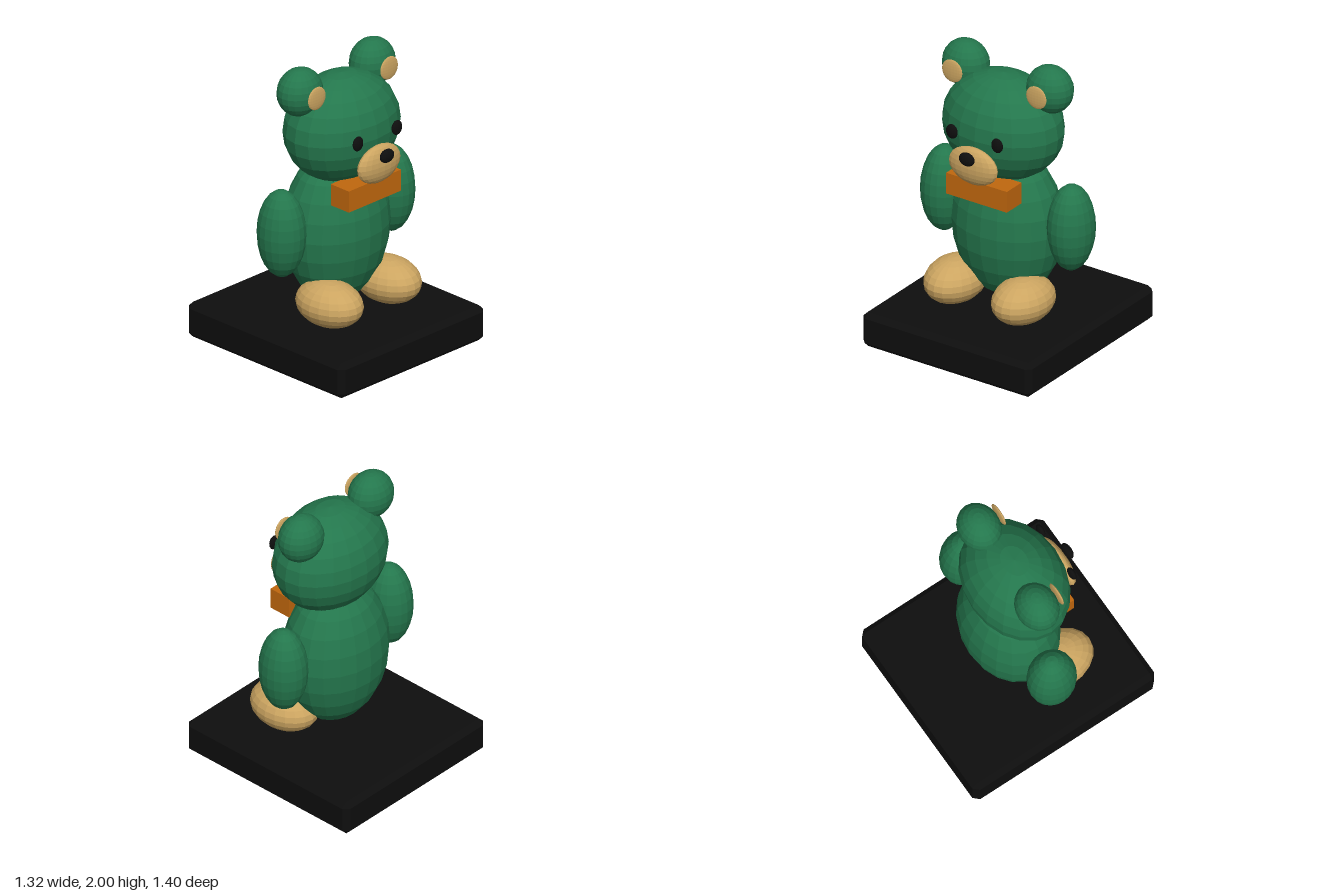
import * as THREE from 'three';
import { ConvexGeometry } from 'three/addons/geometries/ConvexGeometry.js';

const material = (name, color) =>
  new THREE.MeshStandardMaterial({ name, color, flatShading: true });

export function createModel() {
  const green = material('green', 0x24774d);
  const tan = material('tan', 0xcca561);
  const orange = material('orange', 0xc0670e);
  const black = material('black', 0x0e0e0e);

  const bear = new THREE.Group();
  bear.name = 'bear';

  const add = (name, geometry, mat, x, y, z) => {
    const mesh = new THREE.Mesh(geometry, mat);
    mesh.name = name;
    mesh.position.set(x, y, z);
    bear.add(mesh);
    return mesh;
  };

  // Faceted ellipsoid from centre and radii
  const ball = (name, mat, [x, y, z], [rx, ry, rz], segments = 20, rings = 12) =>
    add(name, new THREE.SphereGeometry(1, segments, rings).scale(rx, ry, rz), mat, x, y, z);

  // Matching parts on both sides
  const pair = (name, mat, [x, y, z], radii) => {
    ball('left' + name, mat, [x, y, z], radii);
    ball('right' + name, mat, [-x, y, z], radii);
  };

  // Box with every edge and corner cut: each corner becomes three points
  const chamferedBox = (w, h, d, cut) => {
    const points = [];
    for (const sx of [-1, 1]) for (const sy of [-1, 1]) for (const sz of [-1, 1]) {
      for (let axis = 0; axis < 3; axis++) {
        const inset = [cut, cut, cut];
        inset[axis] = 0;
        points.push(new THREE.Vector3(
          sx * (w / 2 - inset[0]), sy * (h / 2 - inset[1]), sz * (d / 2 - inset[2])));
      }
    }
    return new ConvexGeometry(points);
  };

  // Plinth
  add('base', chamferedBox(1.316, 0.244, 1.4, 0.036), black, 0, 0.122, 0);

  // Body and limbs
  ball('body', green, [0, 0.81, 0.002], [0.385, 0.52, 0.308]);
  pair('Arm', green, [0.493, 0.9, 0], [0.153, 0.3, 0.166]);
  pair('Foot', tan, [0.263, 0.4, 0.203], [0.187, 0.15, 0.247]);

  // Head and ears
  ball('head', green, [0, 1.52, 0.05], [0.425, 0.365, 0.323]);
  pair('Ear', green, [0.327, 1.838, 0], [0.162, 0.162, 0.138]);
  pair('InnerEar', tan, [0.327, 1.838, 0.152], [0.079, 0.079, 0.014]);

  // Face
  ball('muzzle', tan, [0, 1.352, 0.383], [0.187, 0.13, 0.058]);
  ball('nose', black, [0, 1.428, 0.457], [0.058, 0.046, 0.03]);
  pair('Eye', black, [0.176, 1.541, 0.371], [0.043, 0.05, 0.022]);

  // Neckwear
  add('bowTie', new THREE.BoxGeometry(0.472, 0.148, 0.162), orange, 0, 1.145, 0.268);

  return bear;
}
